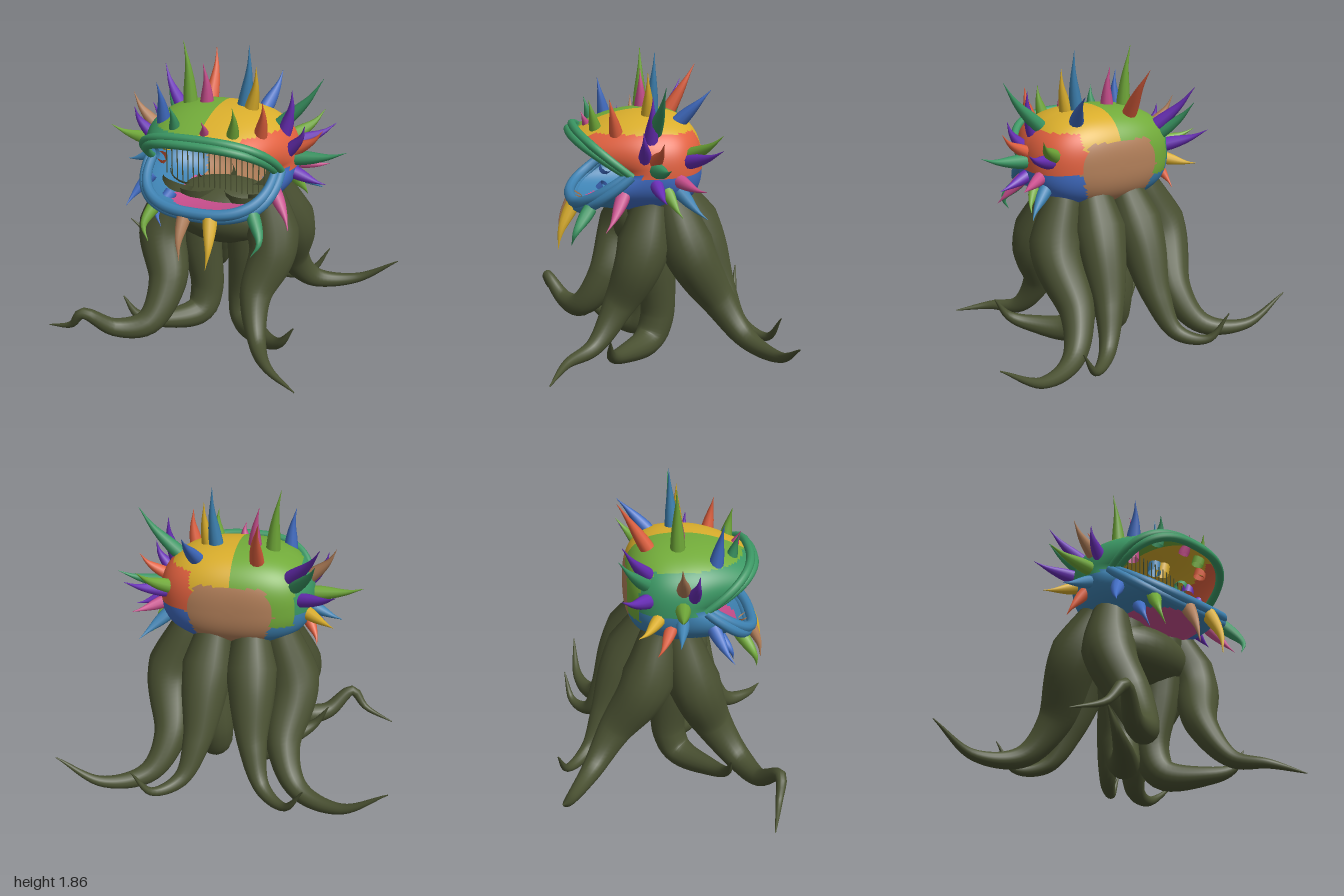
import * as THREE from 'three';

const mat = (name, color, side = THREE.FrontSide) => {
  const m = new THREE.MeshStandardMaterial({ color, side });
  m.name = name;
  return m;
};
const M = {
  olive: mat('olive', 0x4a5132),
  green: mat('leaf green', 0x72ab3a, THREE.DoubleSide),
  yellow: mat('yellow', 0xdaae2c, THREE.DoubleSide),
  orange: mat('orange red', 0xe2613f, THREE.DoubleSide),
  blue: mat('blue', 0x416dc4, THREE.DoubleSide),
  steel: mat('steel blue', 0x3e82b2, THREE.DoubleSide),
  sea: mat('sea green', 0x3b9764, THREE.DoubleSide),
  purple: mat('purple', 0x6a2fb8),
  pink: mat('pink', 0xc94f8e, THREE.DoubleSide),
  tan: mat('tan', 0xb27f59, THREE.DoubleSide),
};
const V = (a) => new THREE.Vector3(...a);
const pw = (v, e) => Math.sign(v) * Math.abs(v) ** e;
const lerp = THREE.MathUtils.lerp;

// Tube along a curve whose radius follows a short list of values
function taperedTube(points, radii, segments, sides) {
  const curve = new THREE.CatmullRomCurve3(points.map(V));
  const geo = new THREE.TubeGeometry(curve, segments, 1, sides);
  const pos = geo.attributes.position, p = new THREE.Vector3();
  for (let i = 0; i <= segments; i++) {
    const c = curve.getPointAt(i / segments);
    const f = (i / segments) * (radii.length - 1), k = Math.min(Math.floor(f), radii.length - 2);
    const r = lerp(radii[k], radii[k + 1], f - k);
    for (let j = 0; j <= sides; j++) {
      const n = i * (sides + 1) + j;
      p.fromBufferAttribute(pos, n).sub(c).multiplyScalar(r).add(c);
      pos.setXYZ(n, p.x, p.y, p.z);
    }
  }
  return geo;
}

function add(parent, name, geo, material) {
  const mesh = new THREE.Mesh(geo, material);
  mesh.name = name;
  parent.add(mesh);
  return mesh;
}

// Mouth rim: a rounded opening that gapes forward from both corners
function rim(t, grow = 0, forward = 0) {
  const c = pw(Math.cos(t), 0.75), s = pw(Math.sin(t), 0.75);
  return [(0.385 + grow) * c, 1.2 + (0.2 + grow) * s, 0.19 + 0.29 * Math.abs(s) + forward];
}

// Point on the head: u runs from the back pole to the mouth rim
function headPoint(u, t) {
  const c = pw(Math.cos(t), 0.8), s = pw(Math.sin(t), 0.8);
  const a = Math.min(u, 0.5) * Math.PI, R = Math.sin(a) ** 0.75;
  const x = 0.465 * R * c, y = 1.22 + (s > 0 ? 0.31 : 0.28) * R * s;
  const z = 0.05 - 0.34 * Math.max(Math.cos(a), 0) ** 0.75;
  if (u <= 0.5) return [x, y, z];
  const v = u * 2 - 1, r = rim(t);
  return [lerp(x, r[0], v * v), lerp(y, r[1], v * v), lerp(z, r[2], v)];
}

// Patch colour for a place on the head
function patch(x, y, z) {
  const back = z < -0.12, ax = Math.abs(x), dy = y - 1.2;
  if (back && dy < 0.17 && ax + 0.35 * Math.abs(dy) < 0.26) return 'tan';
  if (dy < -0.22) return ax < 0.25 ? 'pink' : x > 0 ? 'blue' : 'steel';
  if (x > 0) {
    if (dy > 0.23 || (dy > 0.13 && ax < 0.24)) return 'yellow';
    if (z > 0.22 && dy < 0) return 'steel';
    return dy > 0 ? 'orange' : 'blue';
  }
  if (dy > 0.23 || (back && ax < 0.37 && dy > -0.07)) return 'green';
  return dy > 0 ? 'sea' : 'steel';
}

function buildHead(parent) {
  const nu = 56, nt = 112, pos = [], faces = {};
  for (let i = 0; i <= nu; i++)
    for (let j = 0; j < nt; j++) pos.push(...headPoint(i / nu, (j / nt) * Math.PI * 2));
  for (let i = 0; i < nu; i++)
    for (let j = 0; j < nt; j++) {
      const k = (j + 1) % nt, a = i * nt + j, b = i * nt + k, c = a + nt, d = b + nt;
      const key = patch(...headPoint((i + 0.5) / nu, ((j + 0.5) / nt) * Math.PI * 2));
      (faces[key] ??= []).push(a, b, c, b, d, c);
    }
  const geo = new THREE.BufferGeometry(), index = [], mats = [];
  for (const [key, list] of Object.entries(faces)) {
    geo.addGroup(index.length, list.length, mats.length);
    mats.push(M[key]);
    for (const n of list) index.push(n);
  }
  geo.setAttribute('position', new THREE.Float32BufferAttribute(pos, 3));
  geo.setIndex(index);
  geo.computeVertexNormals();
  add(parent, 'head', geo, mats);
}

// One spike from its root on the head to a thin bent tip
function spike(parent, name, color, root, tip, bend) {
  const b = V(root), t = V(tip), mid = b.clone().lerp(t, 0.6).add(V(bend));
  b.addScaledVector(t.clone().sub(b).normalize(), -0.03);
  const r = 0.025 + 0.06 * Math.min(b.distanceTo(t), 0.3);
  const pts = [b, mid, t].map((p) => p.toArray());
  add(parent, name, taperedTube(pts, [r, r, r * 0.8, r * 0.5, r * 0.2, 0.001], 12, 10), M[color]);
}

// Spikes are listed by colour and tip; each region has a rule for the root
function buildSpikes(parent) {
  const crown = [
    ['green', -0.25, 1.87, 0.02], ['orange', -0.17, 1.77, -0.31], ['pink', -0.12, 1.75, 0.04],
    ['steel', 0.15, 1.87, 0], ['yellow', 0.21, 1.76, 0.05], ['blue', 0.26, 1.66, -0.31],
  ];
  for (const [color, x, y, z] of crown)
    spike(parent, 'crownSpike', color, [x * 0.83, 1.48, z * 0.5 + 0.02], [x, y, z], [0.012, 0, 0]);

  const brow = [
    ['blue', -0.31, 1.68, 0.28], ['sea', -0.19, 1.58, 0.38], ['pink', 0.02, 1.52, 0.42],
    ['green', 0.19, 1.61, 0.39], ['orange', 0.33, 1.63, 0.29],
  ];
  for (const [color, x, y, z] of brow)
    spike(parent, 'browSpike', color, [x * 0.93, 1.43, z - 0.04], [x, y, z], [0.01, 0, 0]);

  // colour on the +x side, colour on the -x side, tip
  const sides = [
    ['purple', 'purple', 0.53, 1.47, 0.13], ['purple', 'purple', 0.61, 1.37, -0.3],
    ['sea', 'green', 0.75, 1.3, 0.02], ['pink', 'blue', 0.51, 0.91, 0.34],
    ['pink', 'yellow', 0.6, 1.14, -0.21], ['purple', 'steel', 0.64, 1.09, 0.02],
    ['green', 'orange', 0.5, 0.97, -0.1], ['steel', null, 0.56, 0.97, -0.23],
    ['sea', null, 0.6, 1.72, 0.02], ['purple', null, 0.43, 1.65, 0.06],
    ['orange', null, 0.61, 1.42, 0.03], ['green', null, 0.53, 1.44, -0.32],
    [null, 'purple', 0.51, 1.64, -0.29], [null, 'tan', 0.58, 1.53, 0.03],
    [null, 'sea', 0.49, 1.55, -0.31],
  ];
  for (const [plus, minus, x, y, z] of sides) {
    const dy = (y - 1.2) * 0.45, rz = z * 0.6 + 0.03;
    const rx = 0.47 * Math.sqrt(1 - (dy / 0.36) ** 2 - ((rz - 0.07) / 0.45) ** 2);
    for (const [color, s] of [[plus, 1], [minus, -1]])
      if (color) spike(parent, 'sideSpike', color, [s * rx, 1.2 + dy, rz], [s * x, y, z], [s * 0.015, -0.012, 0]);
  }

  const chin = [
    ['green', -0.29, 0.78, 0.5], ['tan', -0.07, 0.72, 0.56], ['yellow', 0.1, 0.7, 0.58],
    ['sea', 0.35, 0.8, 0.52], ['blue', -0.27, 0.82, 0.36],
  ];
  for (const [color, x, y, z] of chin)
    spike(parent, 'chinSpike', color, [x * 0.93, 0.98, z - 0.1], [x, y, z], [x * 0.15, 0.01, 0.02]);
}

// Lips: two ridges along each half of the rim
function buildLips(parent) {
  for (const [name, start, color, r] of [['upperLip', 0, M.sea, 0.026], ['lowerLip', Math.PI, M.steel, 0.033]])
    for (const [grow, forward] of [[0, 0.01], [0.03, -0.015]]) {
      const pts = [];
      for (let i = 0; i <= 24; i++) pts.push(rim(start + (i / 24) * Math.PI, grow, forward));
      add(parent, name, taperedTube(pts, [r * 0.8, r, r, r, r * 0.8], 60, 10), color);
    }
}

// Fine bristles standing inside the mouth
function buildBristles(parent) {
  for (let i = 0; i < 21; i++) {
    const x = -0.35 + i * 0.035, h = 0.5 * Math.sqrt(1 - (x / 0.47) ** 2);
    const bar = add(parent, 'bristle', new THREE.BoxGeometry(0.005, h, 0.005), M.olive);
    bar.position.set(x, 1.22, 0.08);
  }
}

// Tentacles: a path for the +x side, mirrored for the other
function buildTentacles(parent) {
  const slim = [0.11, 0.16, 0.13, 0.09, 0.055, 0.028, 0.003];
  const stout = [0.15, 0.15, 0.13, 0.11, 0.1, 0.07, 0.04, 0.003];
  const grow = (name, radii, path) =>
    add(parent, name, taperedTube(path, radii, 48, 16), M.olive);
  const pair = (name, radii, path) => {
    for (const side of [1, -1]) grow(name, radii, path.map(([x, y, z]) => [x * side, y, z]));
  };
  pair('middleTentacle', stout, [[0.16, 1, 0.02], [0.16, 0.6, 0], [0.13, 0.25, -0.02], [0.16, 0.11, 0.04],
    [0.34, 0.1, 0.22], [0.47, 0.15, 0.31], [0.56, 0.28, 0.33]]);
  pair('backOuterTentacle', slim, [[0.28, 1.02, -0.08], [0.38, 0.72, -0.17], [0.35, 0.4, -0.36],
    [0.46, 0.2, -0.5], [0.72, 0.18, -0.62], [0.99, 0.34, -0.65]]);
  pair('backInnerTentacle', slim, [[0.11, 1.04, -0.13], [0.14, 0.75, -0.29], [0.17, 0.42, -0.42],
    [0.25, 0.2, -0.53], [0.4, 0.17, -0.65], [0.51, 0.33, -0.7]]);

  // the front two share a root; the -x one reaches further and has a kink
  const root = (s) => [[s * 0.28, 1, 0.04], [s * 0.36, 0.68, 0.13], [s * 0.29, 0.4, 0.24], [s * 0.36, 0.17, 0.4]];
  grow('frontTentacle', slim, [...root(1), [0.48, 0.13, 0.57], [0.68, 0.09, 0.69]]);
  grow('frontTentacle', slim, [...root(-1), [-0.54, 0.15, 0.5], [-0.7, 0.27, 0.6], [-0.8, 0.16, 0.58], [-0.99, 0.09, 0.53]]);

  const core = add(parent, 'tentacleRoot', new THREE.SphereGeometry(1, 32, 20), M.olive);
  core.scale.set(0.4, 0.2, 0.27);
  core.position.set(0, 0.82, -0.04);
}

export function createModel() {
  const group = new THREE.Group();
  group.name = 'tentacledCreature';
  for (const build of [buildHead, buildLips, buildBristles, buildSpikes, buildTentacles]) build(group);
  return group;
}
